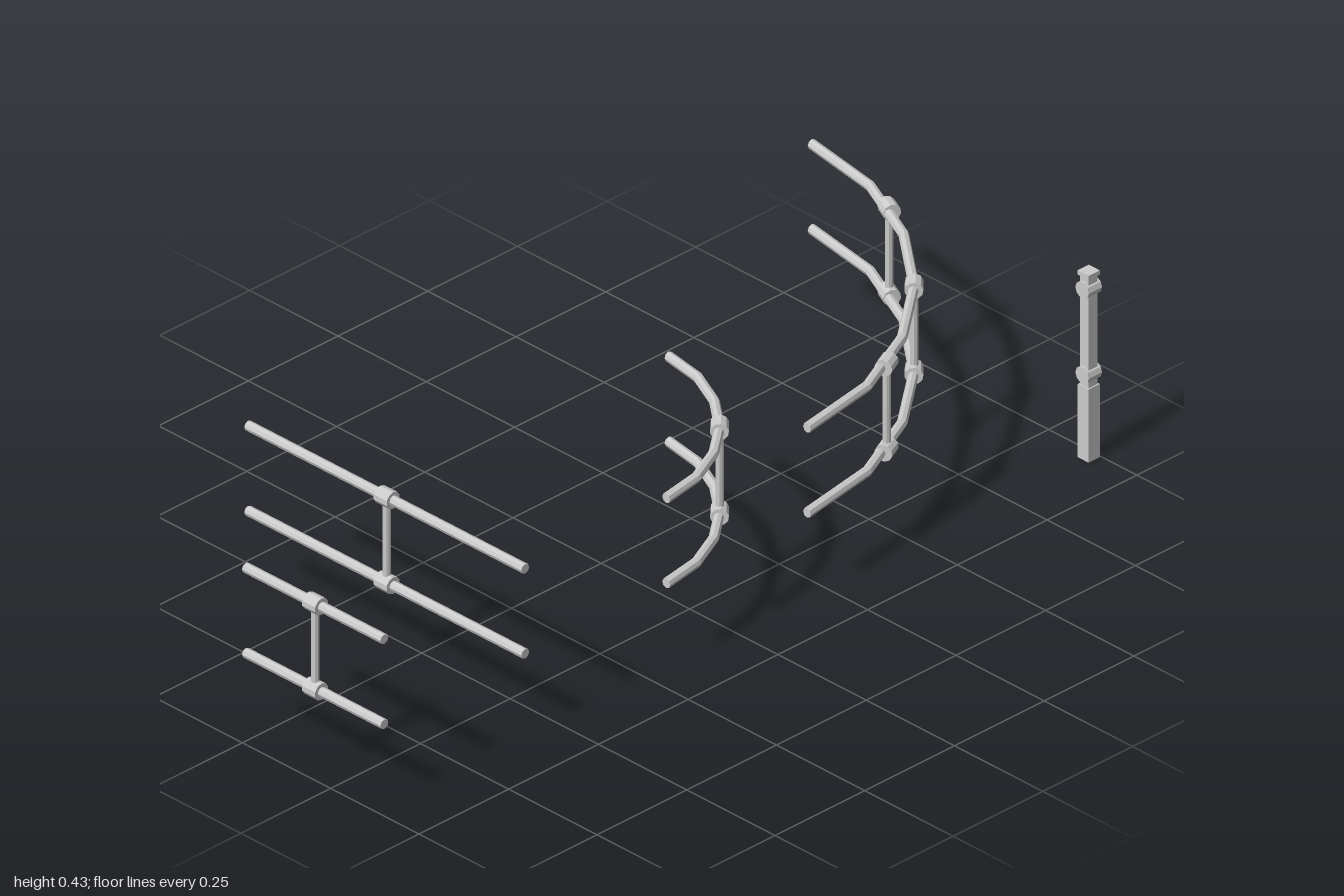
import * as THREE from 'three';

const U = 0.3924;               // spacing of the layout grid
const Z0 = 0.383;               // front line shared by all pieces
const X0 = -2.5 * U;            // leftmost piece
const RAIL_Y = [U / 2, U];      // lower and upper rail heights
const RAIL_R = 0.011, JOINT_R = 0.019;
const UP = new THREE.Vector3(0, 1, 0);

const grey = new THREE.MeshStandardMaterial({ color: 0xcccccc, flatShading: true });

function add(parent, name, geometry, position) {
  const mesh = new THREE.Mesh(geometry, grey);
  mesh.name = name;
  if (position) mesh.position.copy(position);
  parent.add(mesh);
  return mesh;
}

// Short collar whose axis follows the rail direction
function addJoint(parent, position, direction) {
  const joint = add(parent, 'railJoint', new THREE.CylinderGeometry(JOINT_R, JOINT_R, 0.037, 10), position);
  joint.quaternion.setFromUnitVectors(UP, direction);
}

// Pair of rails along a curve, tied by upright struts at the given fractions
function railing(name, curve, segments, struts) {
  const group = new THREE.Group();
  group.name = name;
  for (const y of RAIL_Y) {
    const level = new THREE.Vector3(0, y, 0);
    add(group, 'rail', new THREE.TubeGeometry(curve, segments, RAIL_R, 8), level);
    // End caps
    for (const t of [0, 1]) {
      const outward = curve.getTangent(t).multiplyScalar(t ? 1 : -1);
      const cap = add(group, 'railEnd', new THREE.CircleGeometry(RAIL_R, 8), curve.getPoint(t).add(level));
      cap.quaternion.setFromUnitVectors(new THREE.Vector3(0, 0, 1), outward);
    }
    for (const t of struts) addJoint(group, curve.getPoint(t).add(level), curve.getTangent(t));
  }
  const height = RAIL_Y[1] - RAIL_Y[0];
  for (const t of struts) {
    const middle = curve.getPoint(t).setY((RAIL_Y[0] + RAIL_Y[1]) / 2);
    add(group, 'strut', new THREE.CylinderGeometry(0.0085, 0.0085, height, 8), middle);
  }
  return group;
}

const straight = (x, length) => new THREE.LineCurve3(
  new THREE.Vector3(x, 0, Z0), new THREE.Vector3(x, 0, Z0 - length));

// Quarter bend from +x round to -z, with half-length handles
const bend = (x, size) => new THREE.CubicBezierCurve3(
  new THREE.Vector3(x, 0, Z0),
  new THREE.Vector3(x + size / 2, 0, Z0),
  new THREE.Vector3(x + size, 0, Z0 - size / 2),
  new THREE.Vector3(x + size, 0, Z0 - size));

// Square post with a thicker foot, two collars and a cap
function railPost(x) {
  const group = new THREE.Group();
  group.name = 'railPost';
  group.position.set(x, 0, Z0);
  const block = (name, width, bottom, top) => add(group, name,
    new THREE.BoxGeometry(width, top - bottom, width), new THREE.Vector3(0, (bottom + top) / 2, 0));
  block('postFoot', 0.031, 0, 0.169);
  block('postShaft', 0.0245, 0.169, 0.421);
  block('postCap', 0.031, 0.421, 0.431);
  for (const y of RAIL_Y) addJoint(group, new THREE.Vector3(0, y, 0), new THREE.Vector3(1, 0, 0));
  return group;
}

export function createModel() {
  const model = new THREE.Group();
  model.name = 'railingSet';
  model.add(
    railing('shortStraightRailing', straight(X0, U), 1, [0.5]),
    railing('longStraightRailing', straight(X0 + U, 2 * U), 1, [0.5]),
    railing('smallCurvedRailing', bend(X0 + 2 * U, U), 6, [0.5]),
    railing('largeCurvedRailing', bend(X0 + 3 * U, 2 * U), 6, [0.25, 0.5, 0.75]),
    railPost(X0 + 5 * U));
  return model;
}
